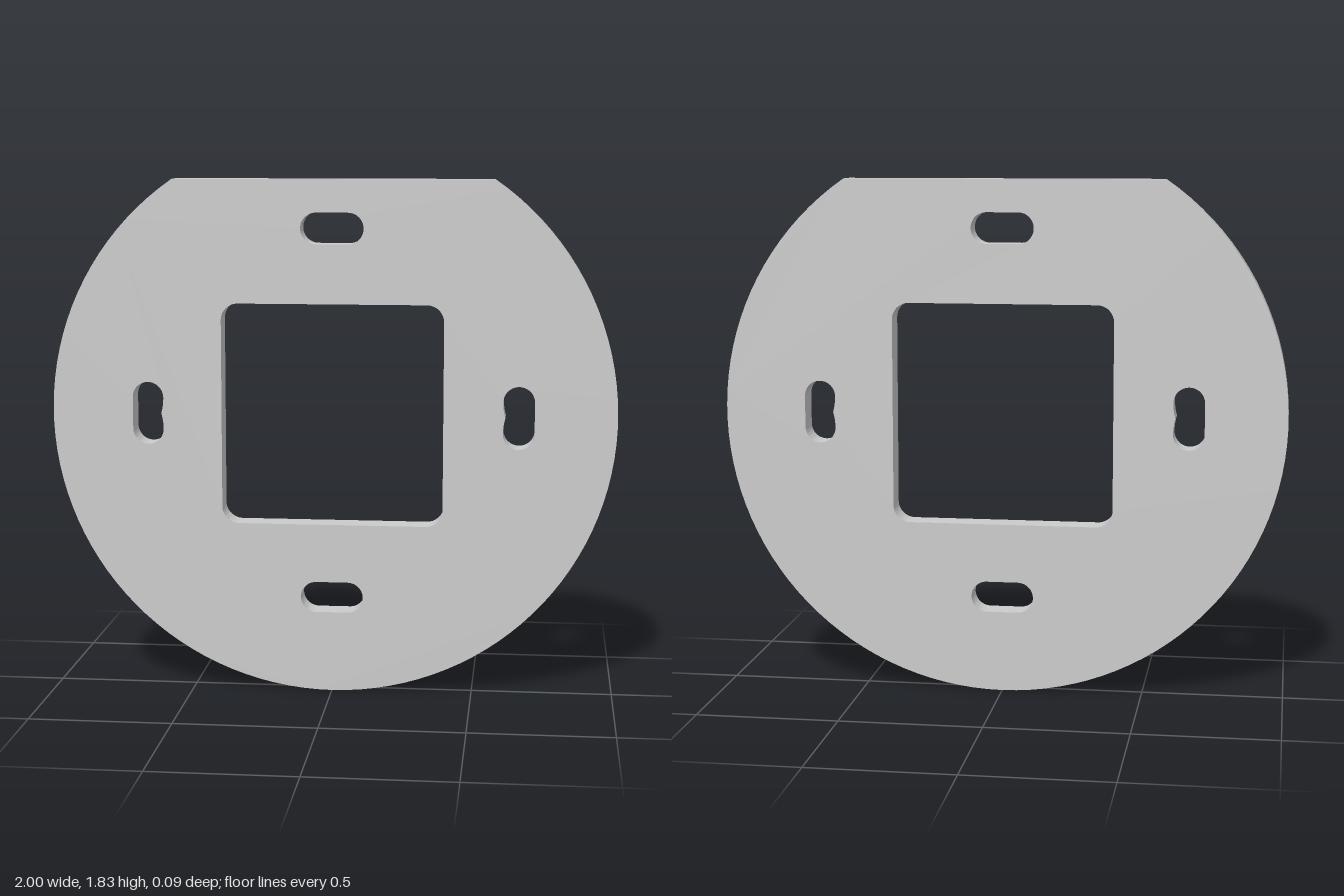
import * as THREE from 'three';
import { toCreasedNormals } from 'three/addons/utils/BufferGeometryUtils.js';

const THICKNESS = 0.094;
const FLAT_Y = 0.827; // height of the flat above the disc centre
const SLOT_OFFSET = 0.657;

// Square opening with rounded corners, centred on the disc
function squareHole(half, r) {
  const k = half - r;
  const path = new THREE.Path();
  [[k, k], [-k, k], [-k, -k], [k, -k]].forEach(([x, y], i) =>
    path.absarc(x, y, r, i * Math.PI / 2, (i + 1) * Math.PI / 2, false));
  return path.closePath();
}

// Rounded slot tangent to the disc, turned to the given angle;
// pinch pushes the middle of its inner edge slightly into the slot
function slotHole(angle, pinch) {
  const r = 0.055, k = 0.056;
  const path = new THREE.Path();
  path.absarc(k, SLOT_OFFSET, r, -Math.PI / 2, Math.PI / 2, false);
  path.absarc(-k, SLOT_OFFSET, r, Math.PI / 2, 3 * Math.PI / 2, false);
  if (pinch) path.quadraticCurveTo(-k / 2, SLOT_OFFSET - r, 0, SLOT_OFFSET - r + pinch)
    .quadraticCurveTo(k / 2, SLOT_OFFSET - r, k, SLOT_OFFSET - r);
  path.closePath();
  const centre = new THREE.Vector2();
  return new THREE.Path(path.getPoints(16).map(p => p.rotateAround(centre, angle)));
}

export function createModel() {
  const group = new THREE.Group();
  group.name = 'mountingPlate';

  // Disc outline with a flat cut across the top
  const start = Math.PI - Math.asin(FLAT_Y);
  const outline = new THREE.Shape();
  outline.absarc(0, 0, 1, start, 3 * Math.PI - start, false);
  outline.closePath();

  // Central opening and four slots
  outline.holes.push(squareHole(0.393, 0.06));
  for (let i = 0; i < 4; i++) outline.holes.push(slotHole(i * Math.PI / 2, i % 2 ? 0.008 : 0));

  const geometry = new THREE.ExtrudeGeometry(outline, {
    depth: THICKNESS, bevelEnabled: false, curveSegments: 48,
  });
  geometry.translate(0, 1, -THICKNESS / 2);

  const plate = new THREE.Mesh(
    toCreasedNormals(geometry, 0.4),
    new THREE.MeshStandardMaterial({ color: 0xcccccc }));
  plate.name = 'plate';
  group.add(plate);
  return group;
}
